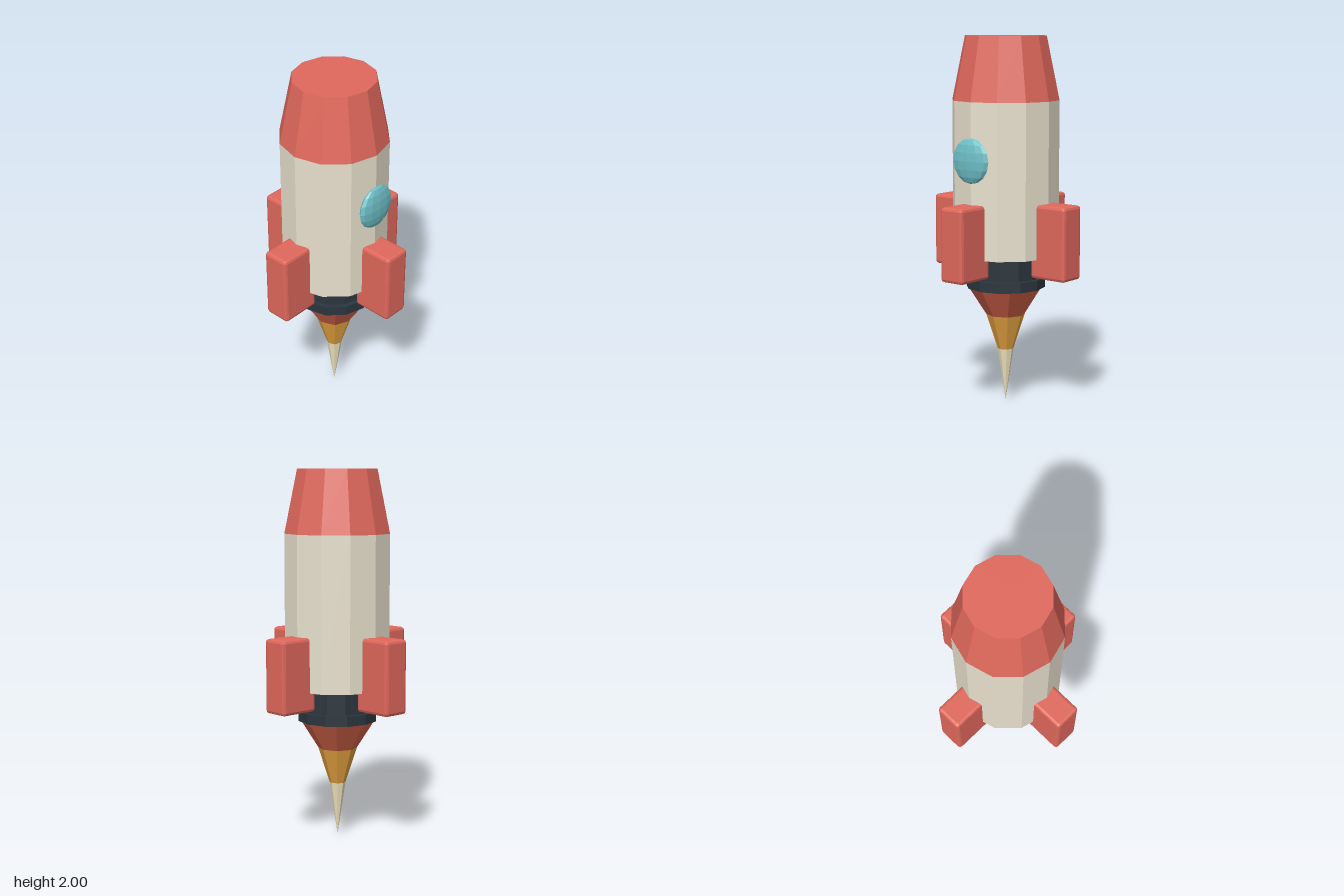
import * as THREE from 'three';
import { RoundedBoxGeometry } from 'three/addons/geometries/RoundedBoxGeometry.js';

const paint = (color) => {
  const m = new THREE.MeshStandardMaterial({ flatShading: true });
  m.color.set(color);
  return m;
};

export function createModel() {
  const rocket = new THREE.Group();
  rocket.name = 'rocket';
  const red = paint(0xe0685c);
  const dark = paint(0x2b363e);

  const add = (name, geometry, material, parent = rocket) => {
    const mesh = new THREE.Mesh(geometry, material);
    mesh.name = name;
    parent.add(mesh);
    return mesh;
  };

  // Faceted section between two heights
  const section = (name, rTop, rBottom, yTop, yBottom, sides, material, open = false) => {
    const geometry = new THREE.CylinderGeometry(rTop, rBottom, yTop - yBottom, sides, 1, open);
    geometry.translate(0, (yTop + yBottom) / 2, 0);
    return add(name, geometry, material);
  };

  // Hull and blunt nose
  section('body', 0.29, 0.29, 1.66, 0.83, 12, paint(0xe9e1ce));
  section('nose', 0.22, 0.29, 2.0, 1.66, 12, red);

  // Engine and its rim
  section('engine', 0.19, 0.19, 0.83, 0.7, 12, dark);
  section('engineRim', 0.217, 0.217, 0.7, 0.645, 12, dark);

  // Exhaust flame, tapering to a point
  section('flameOuter', 0.205, 0.107, 0.645, 0.49, 8, paint(0xd9654b), true);
  section('flameMiddle', 0.107, 0.044, 0.49, 0.295, 8, paint(0xe6a440), true);
  section('flameTip', 0.044, 0, 0.295, 0, 8, paint(0xf0e4bf), true);

  // Domed round window
  const porthole = add('window', new THREE.SphereGeometry(0.12, 12, 8), paint(0x6fc0c8));
  porthole.scale.z = 0.28;
  porthole.position.set(0, 1.355, 0.29);

  // Four chamfered fins
  const finGeometry = new RoundedBoxGeometry(0.15, 0.395, 0.223, 1, 0.016);
  finGeometry.translate(0, 0.925, 0.3385);
  const fins = new THREE.Group();
  fins.name = 'fins';
  rocket.add(fins);
  ['frontFin', 'leftFin', 'backFin', 'rightFin'].forEach((name, i) => {
    add(name, finGeometry, red, fins).rotation.y = (i * Math.PI) / 2;
  });

  return rocket;
}
